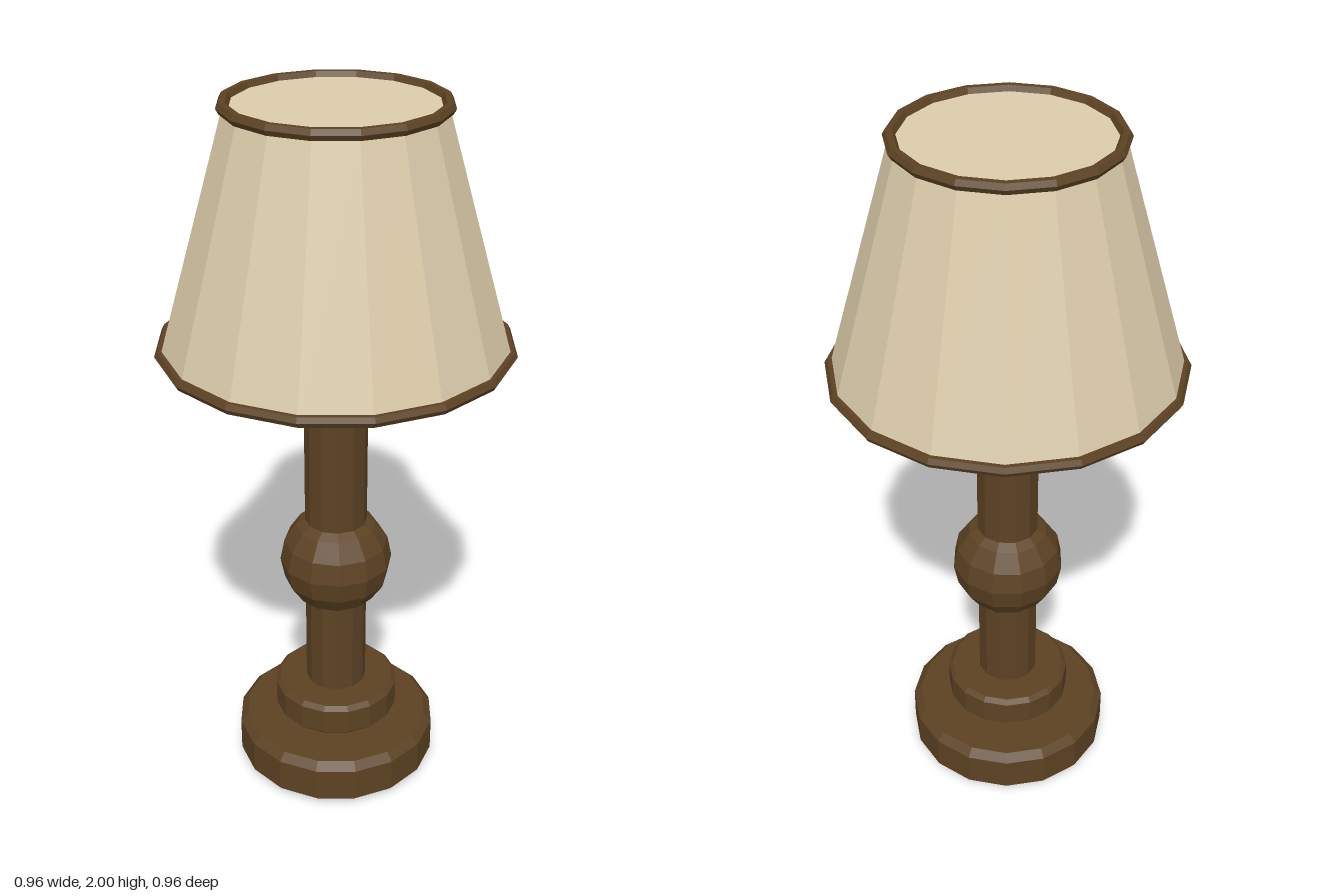
import * as THREE from 'three';

const wood = new THREE.MeshStandardMaterial({ color: 0x5c4223, flatShading: true });
wood.name = 'dark wood';
const fabric = new THREE.MeshStandardMaterial({ color: 0xdcccab, flatShading: true });
fabric.name = 'cream fabric';

export function createModel() {
  const lamp = new THREE.Group();
  lamp.name = 'tableLamp';

  function add(name, geometry, material, y) {
    const mesh = new THREE.Mesh(geometry, material);
    mesh.name = name;
    mesh.position.y = y;
    lamp.add(mesh);
    return mesh;
  }

  // Turned disc with chamfered rims, standing on y
  function disc(name, radius, y, height, bevel, sides) {
    const profile = [
      [0, 0], [radius - bevel, 0], [radius, bevel],
      [radius, height - bevel], [radius - bevel, height], [0, height],
    ].map(([r, h]) => new THREE.Vector2(r, h));
    return add(name, new THREE.LatheGeometry(profile, sides), wood, y);
  }

  // Foot: two discs with a narrow gap between them
  disc('base', 0.293, 0, 0.143, 0.022, 16);
  disc('upperBase', 0.181, 0.164, 0.1, 0.013, 16);

  // Stem with a faceted ball
  add('column', new THREE.CylinderGeometry(0.088, 0.088, 1.1, 12), wood, 0.8);
  add('ball', new THREE.SphereGeometry(0.16, 12, 8), wood, 0.676);
  disc('collar', 0.133, 1.29, 0.09, 0.011, 16);

  // Closed shade and its two trim rings
  add('shade', new THREE.CylinderGeometry(0.281, 0.466, 0.638, 16), fabric, 1.667);
  for (const [name, radius, y] of [['topTrim', 0.281, 1.986], ['bottomTrim', 0.466, 1.348]]) {
    const ring = new THREE.TorusGeometry(radius, 0.016, 6, 16).rotateX(Math.PI / 2);
    add(name, ring, wood, y);
  }

  return lamp;
}
